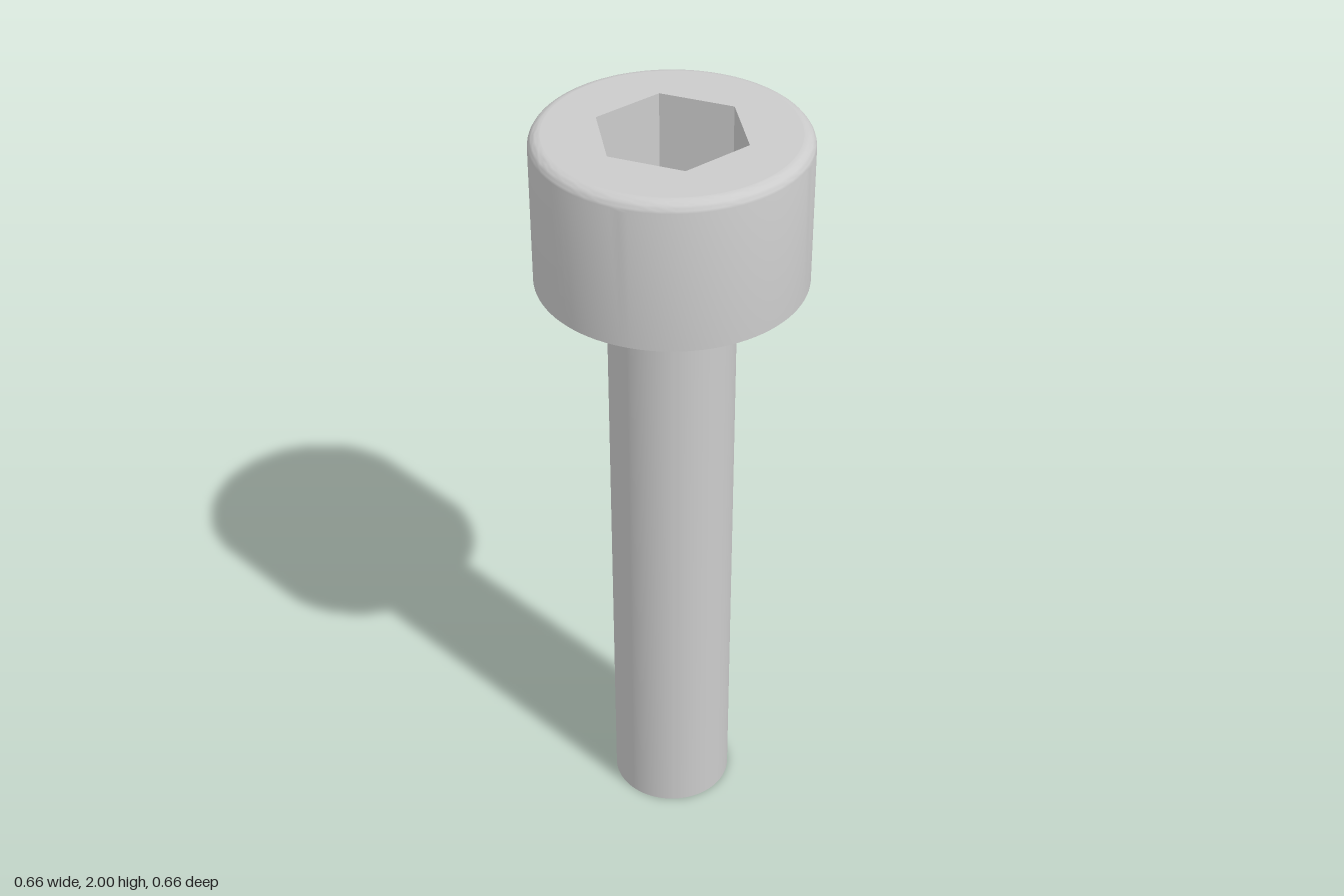
import * as THREE from 'three';
import { toCreasedNormals } from 'three/addons/utils/BufferGeometryUtils.js';

const SEGMENTS = 96;
const HEIGHT = 2, HEAD_BASE = 1.62, HEAD_R = 0.33, FILLET = 0.03;
const SHANK_R = 0.157, SOCKET_R = 0.187, SOCKET_DEPTH = 0.2;

export function createModel() {
  const model = new THREE.Group();
  model.name = 'socketHeadScrew';
  const material = new THREE.MeshStandardMaterial({ color: 0xcccccc });
  const socketMaterial = new THREE.MeshStandardMaterial({
    color: 0xcccccc, flatShading: true, side: THREE.DoubleSide,
  });

  const add = (name, geometry, mat = material, parent = model) => {
    const mesh = new THREE.Mesh(geometry, mat);
    mesh.name = name;
    parent.add(mesh);
    return mesh;
  };

  // Plain cylindrical shank, closed at the bottom
  const shankProfile = [[0, 0], [SHANK_R, 0], [SHANK_R, HEAD_BASE]]
    .map(([r, y]) => new THREE.Vector2(r, y));
  add('shank', toCreasedNormals(new THREE.LatheGeometry(shankProfile, SEGMENTS), 0.6));

  // Head: flat underside, straight wall, rounded upper edge
  const headProfile = [
    new THREE.Vector2(SHANK_R, HEAD_BASE),
    new THREE.Vector2(HEAD_R, HEAD_BASE),
  ];
  for (let i = 0; i <= 8; i++) {
    const a = (i / 8) * Math.PI / 2;
    headProfile.push(new THREE.Vector2(
      HEAD_R - FILLET + FILLET * Math.cos(a),
      HEIGHT - FILLET + FILLET * Math.sin(a),
    ));
  }
  add('head', toCreasedNormals(new THREE.LatheGeometry(headProfile, SEGMENTS), 0.6));

  // Flat top of the head with the hexagonal opening
  const top = new THREE.Shape().absarc(0, 0, HEAD_R - FILLET, 0, Math.PI * 2);
  const hexagon = Array.from({ length: 6 }, (_, i) => new THREE.Vector2(
    SOCKET_R * Math.cos(i * Math.PI / 3), SOCKET_R * Math.sin(i * Math.PI / 3)));
  top.holes.push(new THREE.Path(hexagon));
  add('headTop', new THREE.ShapeGeometry(top, SEGMENTS / 2)
    .rotateX(-Math.PI / 2).translate(0, HEIGHT, 0));

  // Hexagonal socket: six walls and a flat floor
  const socket = new THREE.Group();
  socket.name = 'hexSocket';
  model.add(socket);
  add('socketWalls', new THREE.CylinderGeometry(
    SOCKET_R, SOCKET_R, SOCKET_DEPTH, 6, 1, true, Math.PI / 2,
  ).translate(0, HEIGHT - SOCKET_DEPTH / 2, 0), socketMaterial, socket);
  add('socketFloor', new THREE.CircleGeometry(SOCKET_R, 6)
    .rotateX(-Math.PI / 2).translate(0, HEIGHT - SOCKET_DEPTH, 0), socketMaterial, socket);

  return model;
}
